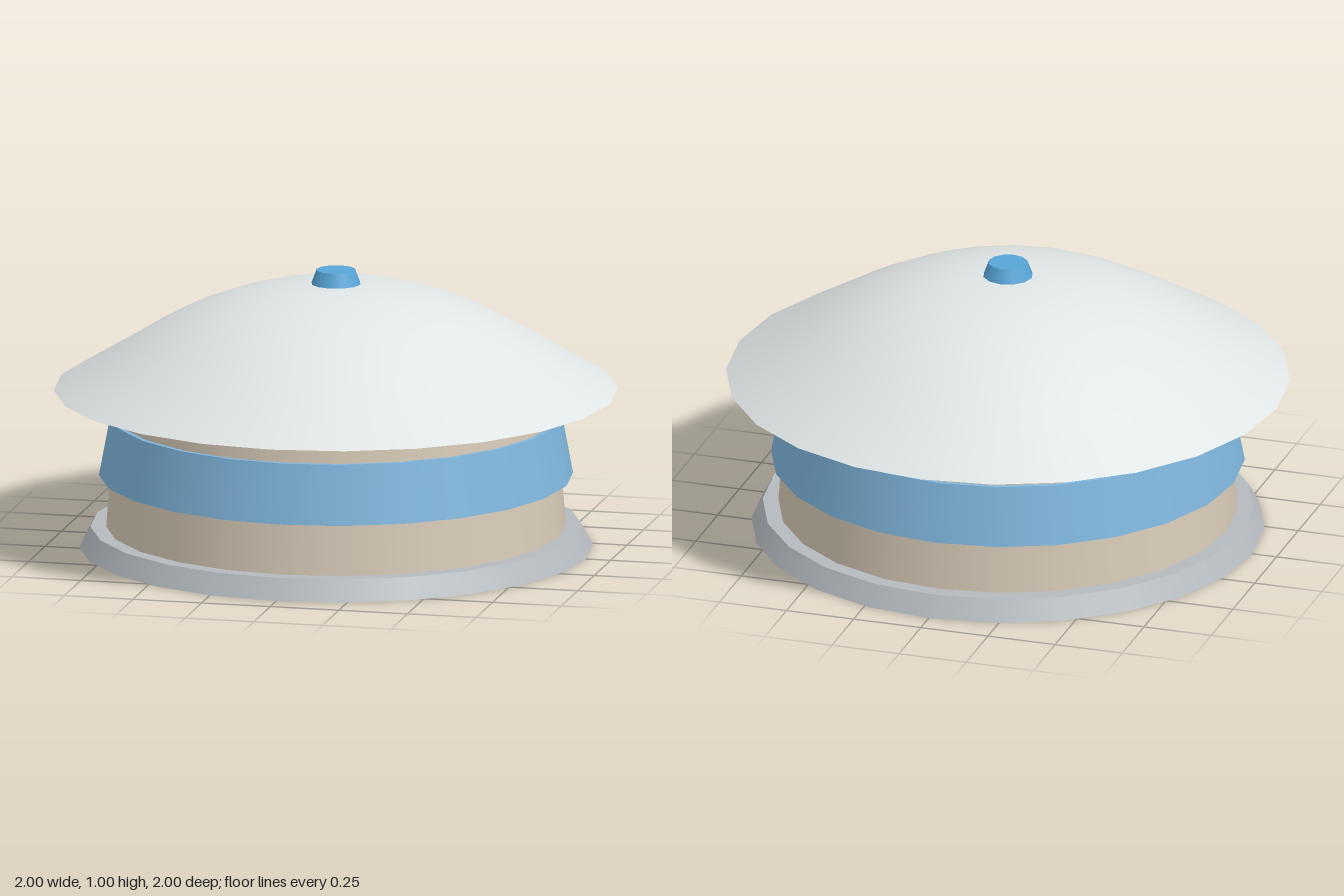
import * as THREE from 'three';

const SIDES = 24;

function paint(color, side = THREE.FrontSide) {
  const material = new THREE.MeshStandardMaterial({ side });
  material.color.set(color);
  return material;
}

// Capped tapering ring standing between two heights
function drum(name, rTop, rBottom, yBottom, yTop, color, sides = SIDES) {
  const geometry = new THREE.CylinderGeometry(rTop, rBottom, yTop - yBottom, sides);
  const mesh = new THREE.Mesh(geometry, paint(color));
  mesh.name = name;
  mesh.position.y = (yBottom + yTop) / 2;
  return mesh;
}

export function createModel() {
  const group = new THREE.Group();
  group.name = 'domedPavilion';

  // Plinth, wall and the flared band around it
  group.add(drum('base', 0.87, 0.91, 0, 0.075, 0xb4babf));
  group.add(drum('wall', 0.78, 0.82, 0.001, 0.525, 0xd8cbb8));
  group.add(drum('band', 0.8, 0.84, 0.262, 0.475, 0x7fb6dd));

  // Thin open roof shell, floating just above the wall
  const profile = [
    [1, 0.57], [0.9, 0.63], [0.8, 0.69], [0.7, 0.752], [0.6, 0.808], [0.5, 0.857],
    [0.4, 0.895], [0.3, 0.924], [0.2, 0.943], [0.1, 0.953], [0, 0.955],
  ].map(([r, y]) => new THREE.Vector2(r, y));
  const roof = new THREE.Mesh(
    new THREE.LatheGeometry(profile, SIDES),
    paint(0xdfe4e4, THREE.DoubleSide)
  );
  roof.name = 'roof';
  group.add(roof);

  // Cap at the peak
  group.add(drum('roofCap', 0.07, 0.09, 0.95, 1.003, 0x57a5d8, 12));

  return group;
}
